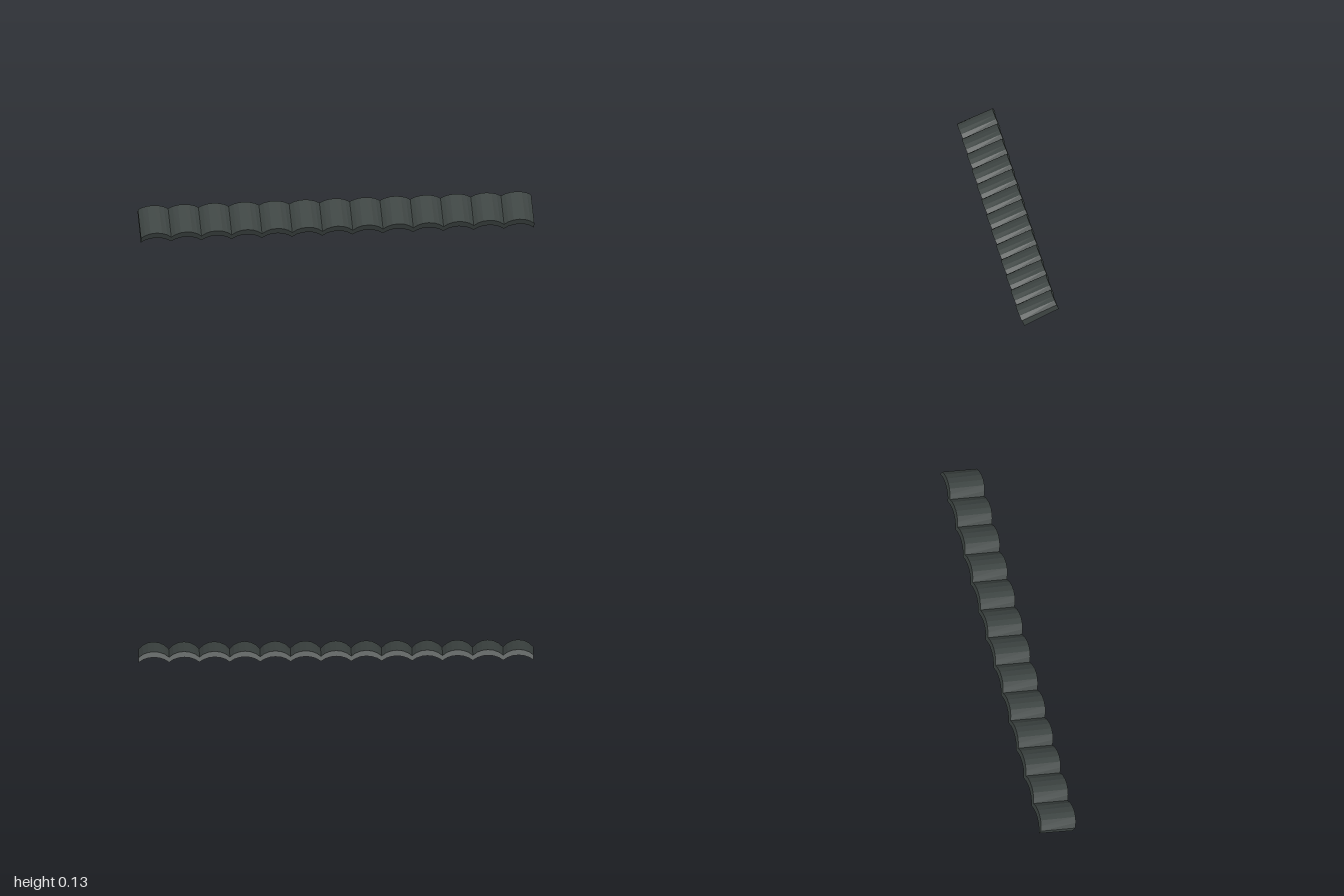
import * as THREE from 'three';

const COUNT = 13, PITCH = 2 / COUNT, LENGTH = 0.195, TILT = 0.44;
const SEGMENTS = 6, BACK_SCALE = 0.786;

// Points of a shallow circular arc across one tile, left to right
function arc(base, rise) {
  const half = PITCH / 2;
  const r = (half * half + rise * rise) / (2 * rise);
  const a = Math.asin(half / r);
  return Array.from({ length: SEGMENTS + 1 }, (_, i) => {
    const t = -a + (2 * a * i) / SEGMENTS;
    return new THREE.Vector2(r * Math.sin(t), base + rise - r + r * Math.cos(t));
  });
}

// Arched tile, thicker at its front edge than at its back edge
function tileGeometry() {
  const shape = new THREE.Shape([...arc(0, 0.033), ...arc(0.033, 0.037).reverse()]);
  const geometry = new THREE.ExtrudeGeometry(shape, { depth: LENGTH, bevelEnabled: false });
  const p = geometry.attributes.position;
  for (let i = 0; i < p.count; i++) {
    p.setY(i, p.getY(i) * THREE.MathUtils.lerp(BACK_SCALE, 1, p.getZ(i) / LENGTH));
  }
  geometry.computeVertexNormals();
  return geometry;
}

export function createModel() {
  const model = new THREE.Group();
  model.name = 'roofTileRow';
  const slate = new THREE.MeshStandardMaterial({ color: 0x3c4341 });
  slate.name = 'dark slate';

  // Row of tiles, tilted down toward the front
  const row = new THREE.Group();
  row.name = 'tiles';
  row.rotation.x = TILT;
  row.position.set(0, LENGTH * Math.sin(TILT), -0.104);
  const geometry = tileGeometry();
  for (let i = 0; i < COUNT; i++) {
    const tile = new THREE.Mesh(geometry, slate);
    tile.name = `tile${i + 1}`;
    tile.position.x = (i - (COUNT - 1) / 2) * PITCH;
    row.add(tile);
  }
  model.add(row);
  return model;
}
